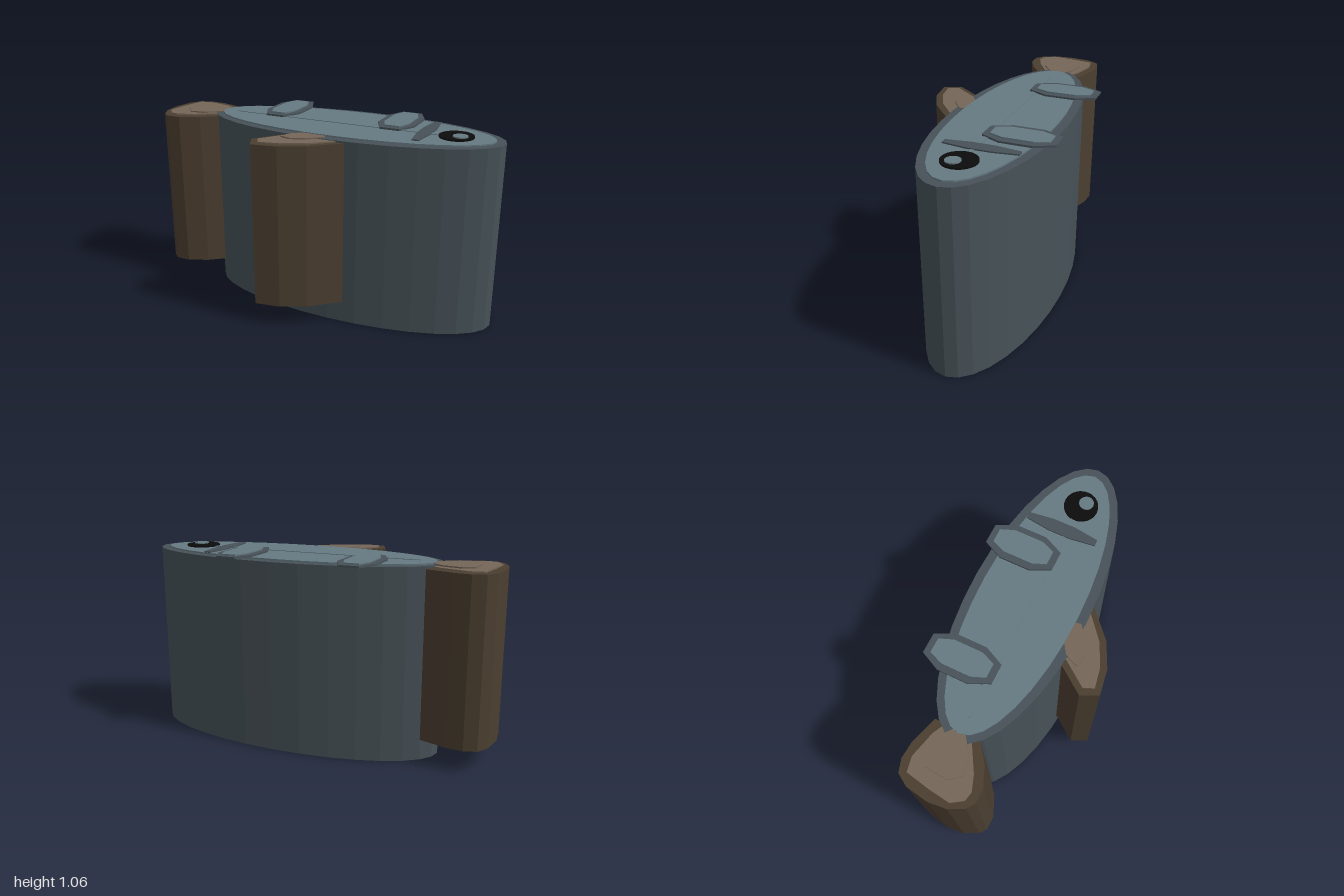
import * as THREE from 'three';

const mat = (name, color) => {
  const m = new THREE.MeshStandardMaterial({ color });
  m.name = name;
  m.flatShading = true;
  return m;
};

// Vertical prism from an [x, z] outline between two heights
function prism(name, points, y0, y1, material) {
  const shape = new THREE.Shape(points.map(([x, z]) => new THREE.Vector2(x, -z)));
  const geo = new THREE.ExtrudeGeometry(shape, { depth: y1 - y0, bevelEnabled: false });
  geo.rotateX(-Math.PI / 2).translate(0, y0, 0);
  const mesh = new THREE.Mesh(geo, material);
  mesh.name = name;
  return mesh;
}

const ellipse = (cx, cz, rx, rz, n) => Array.from({ length: n }, (_, i) => {
  const a = (i / n) * Math.PI * 2;
  return [cx + rx * Math.cos(a), cz + rz * Math.sin(a)];
});

// Elongated octagon; tx and tz are the half-extents of its straight edges
const octagon = (cx, cz, rx, rz, tx, tz) => [
  [-tx, -rz], [tx, -rz], [rx, -tz], [rx, tz], [tx, rz], [-tx, rz], [-rx, tz], [-rx, -tz],
].map(([x, z]) => [cx + x, cz + z]);

export function createModel() {
  const group = new THREE.Group();
  group.name = 'fishBlock';
  const slate = mat('darkSlate', 0x465157);
  const paleSlate = mat('paleSlate', 0x657981);
  const brown = mat('darkBrown', 0x4b3e30);
  const paleBrown = mat('paleBrown', 0x746557);
  const black = mat('black', 0x0c0c0c);
  const add = (...args) => group.add(prism(...args));

  // Body column, its inset top and the lengthwise ridge
  add('body', ellipse(0.155, -0.095, 0.845, 0.315, 32), 0, 1.035, slate);
  add('bodyInset', ellipse(0.15, -0.095, 0.8, 0.265, 32), 1.035, 1.043, paleSlate);
  add('lateralLine', octagon(0.06, -0.09, 0.62, 0.012, 0.6, 0.006), 1.043, 1.046, paleSlate);

  // Tail column with stepped plates
  add('tail', [
    [-0.63, -0.235], [-0.78, -0.28], [-0.87, -0.287], [-0.94, -0.265], [-0.98, -0.2], [-1, -0.08],
    [-0.99, 0.02], [-0.95, 0.1], [-0.91, 0.13], [-0.83, 0.13], [-0.72, 0.08], [-0.63, 0.01],
  ], 0.12, 1.025, brown);
  add('tailInset', [
    [-0.64, -0.18], [-0.7, -0.21], [-0.84, -0.245], [-0.92, -0.23], [-0.945, -0.1],
    [-0.96, 0.02], [-0.92, 0.08], [-0.87, 0.09], [-0.79, 0.06], [-0.64, -0.03],
  ], 1.025, 1.032, paleBrown);
  add('tailCentre', [
    [-0.64, -0.13], [-0.69, -0.17], [-0.8, -0.19], [-0.86, -0.16],
    [-0.87, -0.04], [-0.82, 0.02], [-0.74, 0.01], [-0.64, -0.06],
  ], 1.032, 1.039, paleBrown);

  // Side fin column with stepped plates
  add('sideFin', [
    [-0.22, 0.345], [-0.175, 0.437], [-0.035, 0.415], [0.1, 0.35],
    [0.25, 0.215], [0.25, 0.1], [-0.12, 0.1], [-0.12, 0.21],
  ], 0.12, 1.025, brown);
  add('sideFinInset', [
    [-0.18, 0.345], [-0.155, 0.4], [-0.045, 0.38], [0.08, 0.32],
    [0.2, 0.22], [0.2, 0.15], [-0.08, 0.15], [-0.08, 0.21],
  ], 1.025, 1.032, paleBrown);
  add('sideFinCentre', [
    [-0.06, 0.2], [0, 0.16], [0.12, 0.16], [0.125, 0.2], [0.05, 0.26], [-0.03, 0.29], [-0.09, 0.27],
  ], 1.032, 1.039, paleBrown);

  // Two back fins lying across the rim
  for (const x of [-0.305, 0.385]) {
    add('backFin', octagon(x, -0.255, 0.105, 0.19, 0.055, 0.085), 1.043, 1.053, slate);
    add('backFinInset', octagon(x, -0.255, 0.07, 0.155, 0.04, 0.08), 1.053, 1.06, paleSlate);
  }

  // Gill slit and eye
  add('gill', octagon(0.575, -0.12, 0.036, 0.197, 0.018, 0.06), 1.043, 1.05, slate);
  add('eye', ellipse(0.745, -0.085, 0.092, 0.092, 24), 1.043, 1.052, black);
  add('eyeGlint', ellipse(0.77, -0.065, 0.04, 0.04, 16), 1.052, 1.058, paleSlate);
  return group;
}
